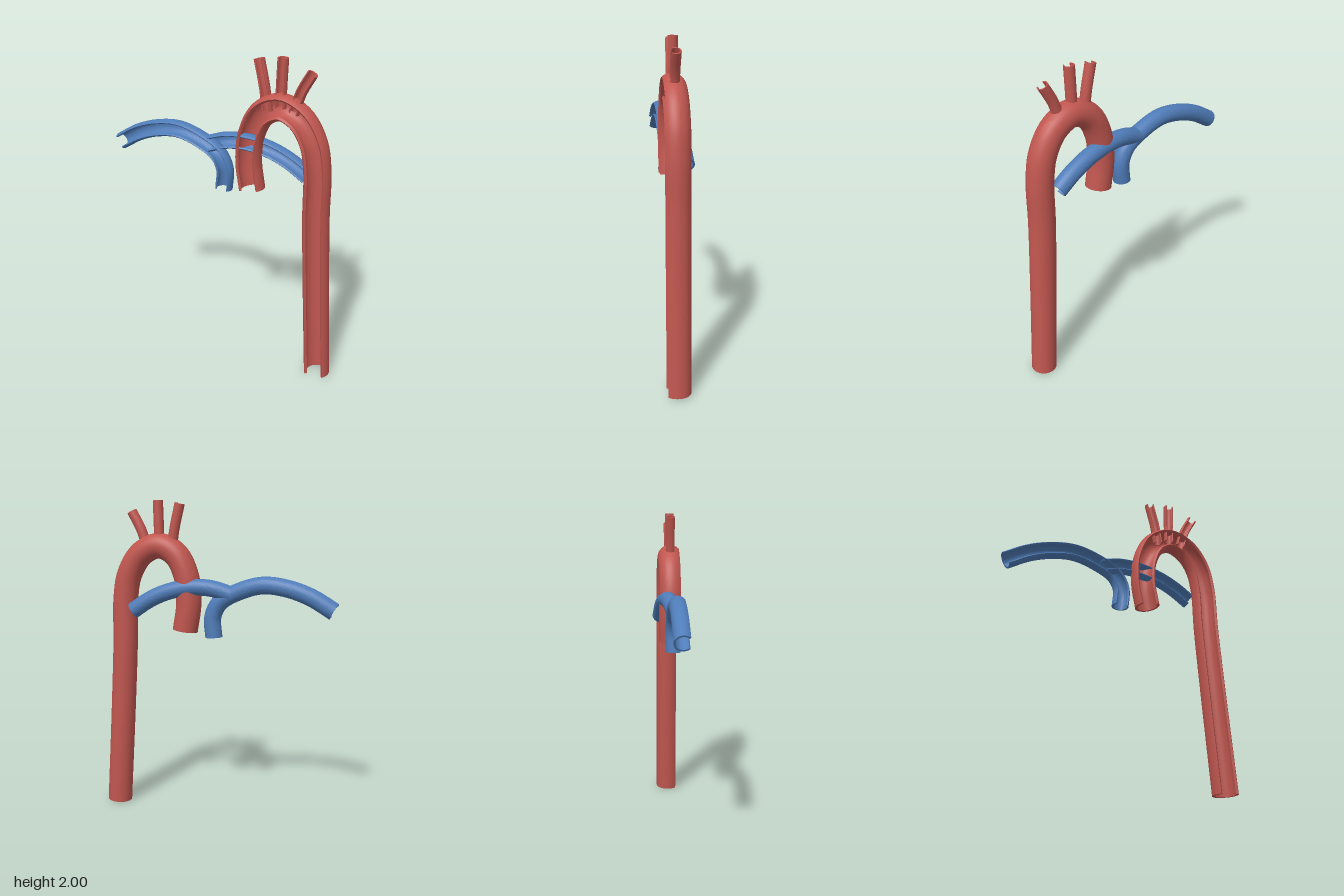
import * as THREE from 'three';
import { toCreasedNormals } from 'three/addons/utils/BufferGeometryUtils.js';

const OPENING = Math.PI / 4; // half angle of the slot cut along the front

// Thick-walled vessel swept along a path, with a slot open towards +z
function openVessel(points, radius, wall, steps, arcs = 28) {
  const curve = new THREE.CatmullRomCurve3(points.map((p) => new THREE.Vector3(...p)));
  const pos = [];
  const index = [];
  const half = arcs + 1;
  const ring = half * 2;
  const quad = (a, b, c, d) => index.push(a, b, c, a, c, d);

  for (let i = 0; i <= steps; i++) {
    const p = curve.getPointAt(i / steps);
    const t = curve.getTangentAt(i / steps);
    const front = new THREE.Vector3(0, 0, 1).addScaledVector(t, -t.z).normalize();
    const side = new THREE.Vector3().crossVectors(t, front);
    for (let j = 0; j < ring; j++) {
      const outer = j < half;
      const k = outer ? j : ring - 1 - j;
      const a = OPENING + (k / arcs) * (Math.PI * 2 - OPENING * 2);
      const r = outer ? radius : radius - wall;
      const v = p.clone().addScaledVector(front, r * Math.cos(a)).addScaledVector(side, r * Math.sin(a));
      pos.push(v.x, v.y, v.z);
    }
  }
  // Outer wall, inner wall and the two cut faces
  for (let i = 0; i < steps; i++) {
    for (let j = 0; j < ring; j++) {
      const n = (j + 1) % ring;
      quad(i * ring + j, i * ring + n, (i + 1) * ring + n, (i + 1) * ring + j);
    }
  }
  // C-shaped end faces
  const last = steps * ring;
  for (let k = 0; k < arcs; k++) {
    const inner = ring - 1 - k;
    quad(k, inner, inner - 1, k + 1);
    quad(last + k, last + k + 1, last + inner - 1, last + inner);
  }
  const geo = new THREE.BufferGeometry();
  geo.setAttribute('position', new THREE.Float32BufferAttribute(pos, 3));
  geo.setIndex(index);
  return toCreasedNormals(geo, 0.6);
}

export function createModel() {
  const model = new THREE.Group();
  const red = new THREE.MeshStandardMaterial({ color: 0xc0564f });
  const blue = new THREE.MeshStandardMaterial({ color: 0x4f7cb8 });
  const add = (name, material, points, radius, wall, steps) => {
    const mesh = new THREE.Mesh(openVessel(points, radius, wall, steps), material);
    mesh.name = name;
    model.add(mesh);
  };

  // Great artery: short rising limb, arch and long descending limb
  const az = 0.025;
  add('aorta', red, [
    [0.2, 1.188, az], [0.175, 1.36, az], [0.19, 1.53, az], [0.26, 1.667, az],
    [0.375, 1.72, az], [0.495, 1.667, az], [0.578, 1.54, az], [0.61, 1.38, az],
    [0.618, 1.1, az], [0.64, 0.7, az], [0.684, 0.008, az],
  ], 0.08, 0.015, 110);

  // Three branches rising from the arch
  const branches = [
    [[0.288, 1.685, az], [0.268, 1.82, az], [0.231, 1.98, az]],
    [[0.37, 1.715, az], [0.372, 1.85, az], [0.376, 2.0, az]],
    [[0.452, 1.695, az], [0.492, 1.82, az], [0.553, 1.932, az]],
  ];
  branches.forEach((path, i) => add(`archBranch${i + 1}`, red, path, 0.032, 0.007, 16));

  // Vein from the model's right, bending down into the main trunk
  const vz = 0.03;
  add('rightVeinAndTrunk', blue, [
    [-0.742, 1.338, vz], [-0.6, 1.42, vz], [-0.45, 1.47, vz], [-0.3, 1.484, vz],
    [-0.15, 1.442, vz], [-0.03, 1.373, vz], [0.017, 1.28, vz], [0.01, 1.152, vz],
  ], 0.054, 0.01, 70);

  // Vein from the model's left, passing behind the artery
  add('leftVein', blue, [
    [-0.1, 1.424, 0.025], [0.02, 1.46, 0.008], [0.15, 1.465, -0.007],
    [0.3, 1.435, -0.019], [0.42, 1.383, -0.027], [0.53, 1.312, -0.033],
  ], 0.052, 0.01, 50);

  return model;
}
